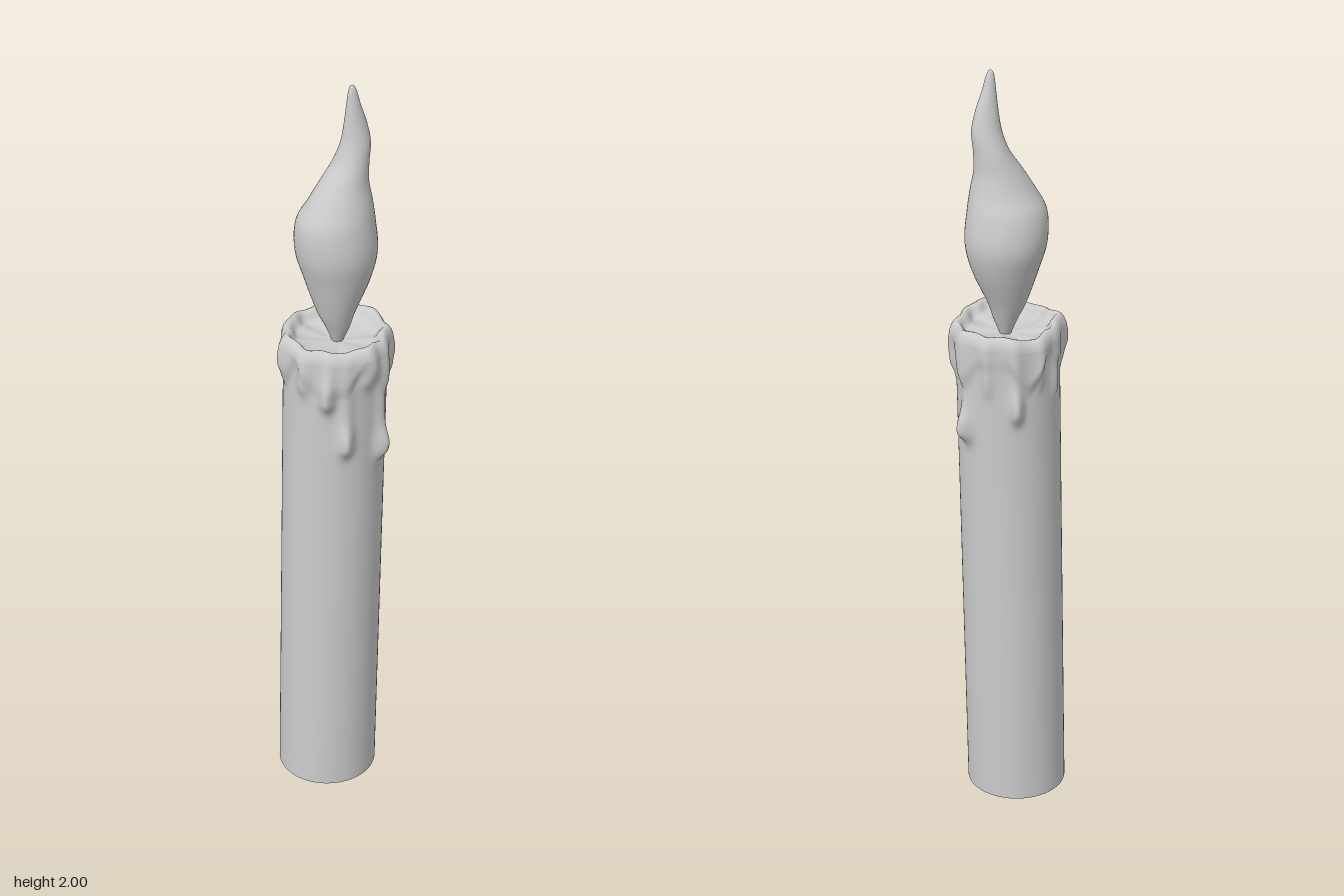
import * as THREE from 'three';

const material = new THREE.MeshStandardMaterial({ color: 0xcccccc, roughness: 0.8 });
const axisX = (y) => -0.025 + 0.019 * y; // the candle leans slightly
const RADIUS = 0.129;

// Smooth closed surface through rings listed from bottom to top; point(row, angle) gives [x, y, z]
function loft(name, rows, segments, point) {
  const positions = [];
  const index = [];
  rows.forEach((row, i) => {
    for (let j = 0; j < segments; j++) {
      positions.push(...point(row, (j / segments) * Math.PI * 2));
      if (i === 0) continue;
      const a = (i - 1) * segments + j;
      const b = (i - 1) * segments + ((j + 1) % segments);
      index.push(a, b, b + segments, a, b + segments, a + segments);
    }
  });
  const geometry = new THREE.BufferGeometry();
  geometry.setAttribute('position', new THREE.Float32BufferAttribute(positions, 3));
  geometry.setIndex(index);
  geometry.computeVertexNormals();
  const mesh = new THREE.Mesh(geometry, material);
  mesh.name = name;
  return mesh;
}

// Point on the candle at a height, angle (0 = front, growing towards +x) and radius
const around = (y, a, r) => [axisX(y) + Math.sin(a) * r, y, Math.cos(a) * r];

// Wax drips: angle, height of the bulb, bulb size, angular width, trail thickness
const drips = [
  [-0.2, 1.09, 0.025, 0.17, 0.008],
  [-0.56, 1.22, 0.024, 0.17, 0.008],
  [0.62, 1.05, 0.023, 0.18, 0.013],
  [1.99, 1.09, 0.03, 0.19, 0.008],
  [3.04, 1.16, 0.025, 0.15, 0.006],
  [0.25, 1.27, 0.012, 0.22, 0.01],
  [1.3, 1.24, 0.012, 0.18, 0.008],
  [-1.05, 1.25, 0.012, 0.17, 0.006],
  [-1.6, 1.29, 0.012, 0.16, 0.004],
  [2.5, 1.22, 0.006, 0.13, 0.006],
  [-2.3, 1.2, 0.005, 0.13, 0.005],
  [-2.75, 1.24, 0.006, 0.13, 0.005],
];

function waxRadius(a, y) {
  const hem = 1.24 + 0.03 * Math.sin(5 * a + 1) + 0.015 * Math.sin(9 * a);
  const collar = 0.008 + 0.003 * Math.sin(4 * a + 0.6) + 0.002 * Math.sin(11 * a);
  let r = RADIUS + collar * THREE.MathUtils.smoothstep(y, hem, hem + 0.05);
  for (const [angle, bulbY, size, width, trail] of drips) {
    const d = Math.atan2(Math.sin(a - angle), Math.cos(a - angle));
    const across = Math.exp(-((d / width) ** 2) * 1.6);
    const reach = y < bulbY ? 0.03 : 0.055; // drop shape: blunt below, drawn out above
    const bulb = size * Math.exp(-(((y - bulbY) / reach) ** 2));
    const run = trail * THREE.MathUtils.smoothstep(y, bulbY - 0.03, bulbY + 0.04)
      * (1 - 0.6 * THREE.MathUtils.smoothstep(y, 1.28, 1.36));
    r += across * (bulb + run);
  }
  return r;
}

// Flame sections: y, centre x, centre z, half width in x, half width in z
const flameSections = [
  [1.315, 0.005, 0, 0.012, 0.012],
  [1.36, 0.005, 0, 0.03, 0.032],
  [1.4, 0.002, -0.002, 0.046, 0.048],
  [1.5, 0.008, -0.008, 0.084, 0.083],
  [1.57, 0.006, -0.01, 0.101, 0.099],
  [1.65, 0.003, -0.007, 0.097, 0.09],
  [1.7, 0.012, -0.002, 0.08, 0.072],
  [1.75, 0.023, -0.002, 0.06, 0.056],
  [1.8, 0.04, -0.002, 0.044, 0.045],
  [1.85, 0.051, 0, 0.037, 0.033],
  [1.9, 0.05, 0.001, 0.028, 0.023],
  [1.95, 0.044, 0.003, 0.017, 0.015],
  [1.985, 0.041, 0.004, 0.01, 0.009],
  [1.997, 0.04, 0.004, 0.005, 0.005],
  [2, 0.04, 0.004, 0, 0],
];

export function createModel() {
  const group = new THREE.Group();
  group.name = 'candle';

  // Slightly domed underside, with a sharp edge to the shaft
  group.add(loft('base', [[0, 0], [0.004, 0.5], [0.012, 0.85], [0.022, 1]], 64,
    ([y, k], a) => around(y, a, k * RADIUS)));

  // Plain shaft
  group.add(loft('shaft', [0.022, 0.35, 0.65, 0.95], 64, (y, a) => around(y, a, RADIUS)));

  // Dripping wax, rolled over the rim into a shallow pool: [y, inset, scale]
  const rows = [];
  for (let i = 0; i <= 56; i++) rows.push([0.95 + (i / 56) * 0.38, 0, 1]);
  rows.push([1.342, 0.003, 1], [1.351, 0.009, 1], [1.355, 0.016, 1], [1.353, 0.023, 1],
    [1.346, 0.029, 1], [1.336, 0.034, 1], [1.329, 0.042, 1], [1.325, 0.04, 0.7],
    [1.322, 0.04, 0.35], [1.321, 0.04, 0]);
  group.add(loft('wax', rows, 144, ([y, inset, scale], a) => {
    const wave = 0.004 * Math.sin(3 * a + 0.5) + 0.003 * Math.sin(7 * a);
    const lift = wave * THREE.MathUtils.smoothstep(y, 1.27, 1.35) * scale;
    const r = (waxRadius(a, Math.min(y, 1.34)) - inset) * scale;
    const [x, , z] = around(y, a, r);
    return [x, y + lift, z];
  }));

  // Flame, smoothed between its sections
  const centres = new THREE.CatmullRomCurve3(
    flameSections.map(([y, x, z]) => new THREE.Vector3(x, y, z)));
  const widths = new THREE.CatmullRomCurve3(
    flameSections.map(([y, , , rx, rz]) => new THREE.Vector3(rx, y, rz)));
  const steps = Array.from({ length: 71 }, (_, i) => i / 70);
  group.add(loft('flame', steps, 48, (t, a) => {
    const c = centres.getPoint(t);
    const w = widths.getPoint(t);
    return [c.x + Math.sin(a) * w.x, c.y, c.z + Math.cos(a) * w.z];
  }));

  return group;
}
